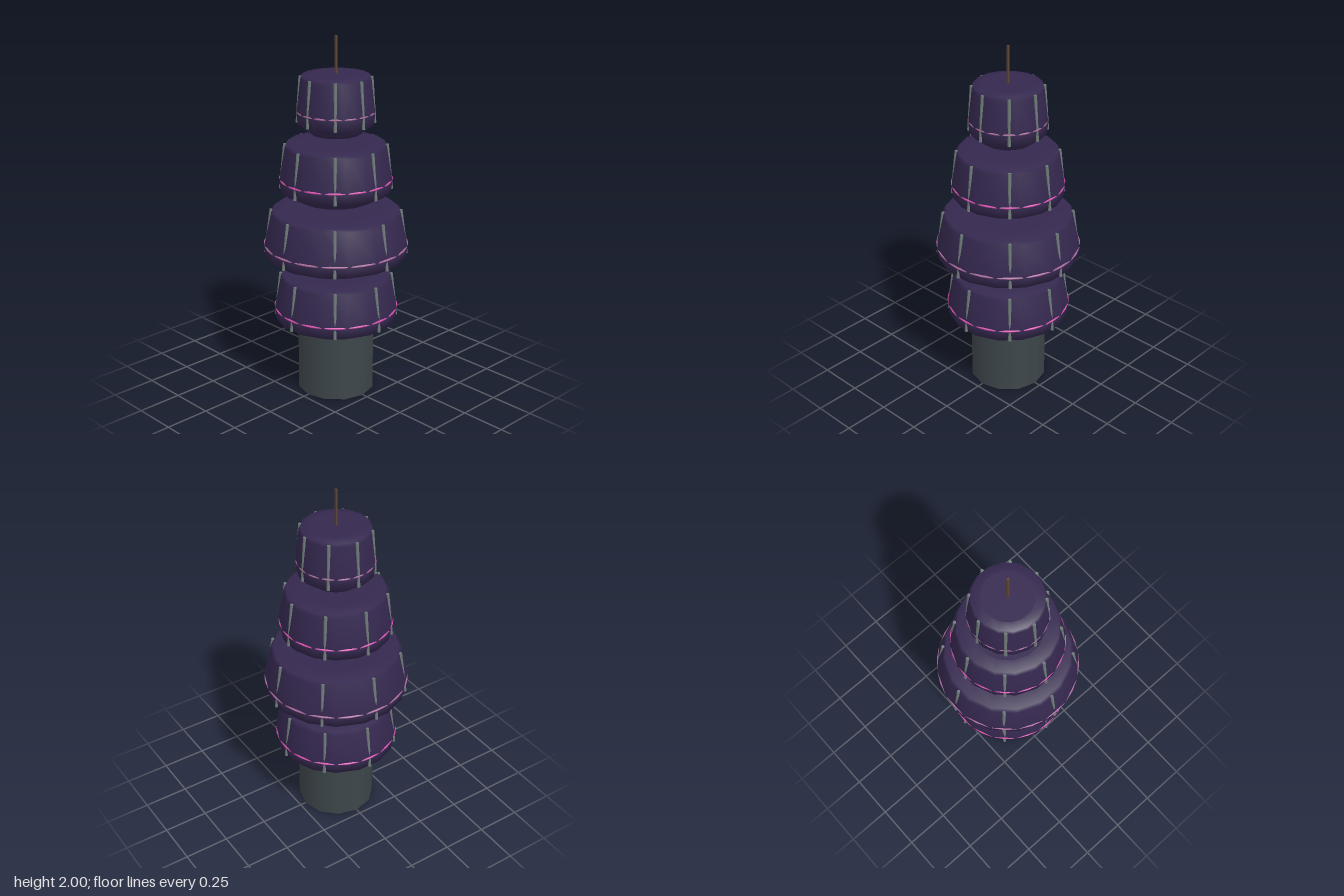
import * as THREE from 'three';

const SIDES = 16;

export function createModel() {
  const model = new THREE.Group();
  model.name = 'tieredTower';

  const mat = (name, color, side = THREE.FrontSide) => {
    const m = new THREE.MeshStandardMaterial({ color, side });
    m.name = name;
    return m;
  };
  const purple = mat('dark purple', 0x35284f);
  const slate = mat('slate grey', 0x3d464a);
  const steel = mat('grey green', 0x6c7a77);
  const pink = mat('bright pink', 0xd650ae);
  const mauve = mat('dusty pink', 0xa9699a);
  const brown = mat('brown', 0x5e4430);

  const add = (parent, name, geometry, material) => {
    const mesh = new THREE.Mesh(geometry, material);
    mesh.name = name;
    parent.add(mesh);
    return mesh;
  };

  // Base column
  add(model, 'baseColumn', new THREE.CylinderGeometry(0.216, 0.216, 0.375, 12), slate)
    .position.y = 0.1875;

  // One floating tier: bulging shell, end caps, trim ring and eight leaning ribs
  const addTier = (name, y, R, trim) => {
    const tier = new THREE.Group();
    tier.name = name;
    tier.position.y = y;
    model.add(tier);

    const profile = [[0.645, 0], [0.975, 0.055], [1, 0.115], [0.9, 0.295], [0.86, 0.312], [0.645, 0.318]]
      .map(([r, h]) => new THREE.Vector2(r * R, h));
    add(tier, 'shell', new THREE.LatheGeometry(profile, SIDES, Math.PI / SIDES), purple);
    for (const [capName, h, dir] of [['topCap', 0.318, -1], ['bottomCap', 0, 1]]) {
      const cap = new THREE.CircleGeometry(0.645 * R, SIDES, Math.PI / SIDES);
      cap.rotateX(dir * Math.PI / 2);
      add(tier, capName, cap, purple).position.y = h;
    }

    const ring = new THREE.TorusGeometry(0.997 * R - 0.006, 0.006, 8, 32);
    ring.rotateX(Math.PI / 2);
    add(tier, 'trimRing', ring, trim).position.y = 0.118;

    const top = new THREE.Vector3(0, 0.305, 0.888 * R);
    const bottom = new THREE.Vector3(0, 0.055, 0.973 * R);
    const axis = top.clone().sub(bottom);
    const rib = new THREE.CylinderGeometry(0.009, 0.009, axis.length(), 8);
    rib.applyQuaternion(new THREE.Quaternion().setFromUnitVectors(
      new THREE.Vector3(0, 1, 0), axis.clone().normalize()));
    const mid = top.clone().add(bottom).multiplyScalar(0.5);
    rib.translate(mid.x, mid.y, mid.z);
    for (let i = 0; i < 8; i++) {
      add(tier, 'rib', rib, steel).rotation.y = i * Math.PI / 4;
    }
  };

  addTier('lowerTier', 0.372, 0.345, pink);
  addTier('wideTier', 0.743, 0.398, mauve);
  addTier('upperTier', 1.113, 0.308, pink);
  addTier('topTier', 1.48, 0.211, mauve);

  // Thin mast
  add(model, 'mast', new THREE.BoxGeometry(0.01, 0.21, 0.013), brown).position.y = 1.895;

  return model;
}
